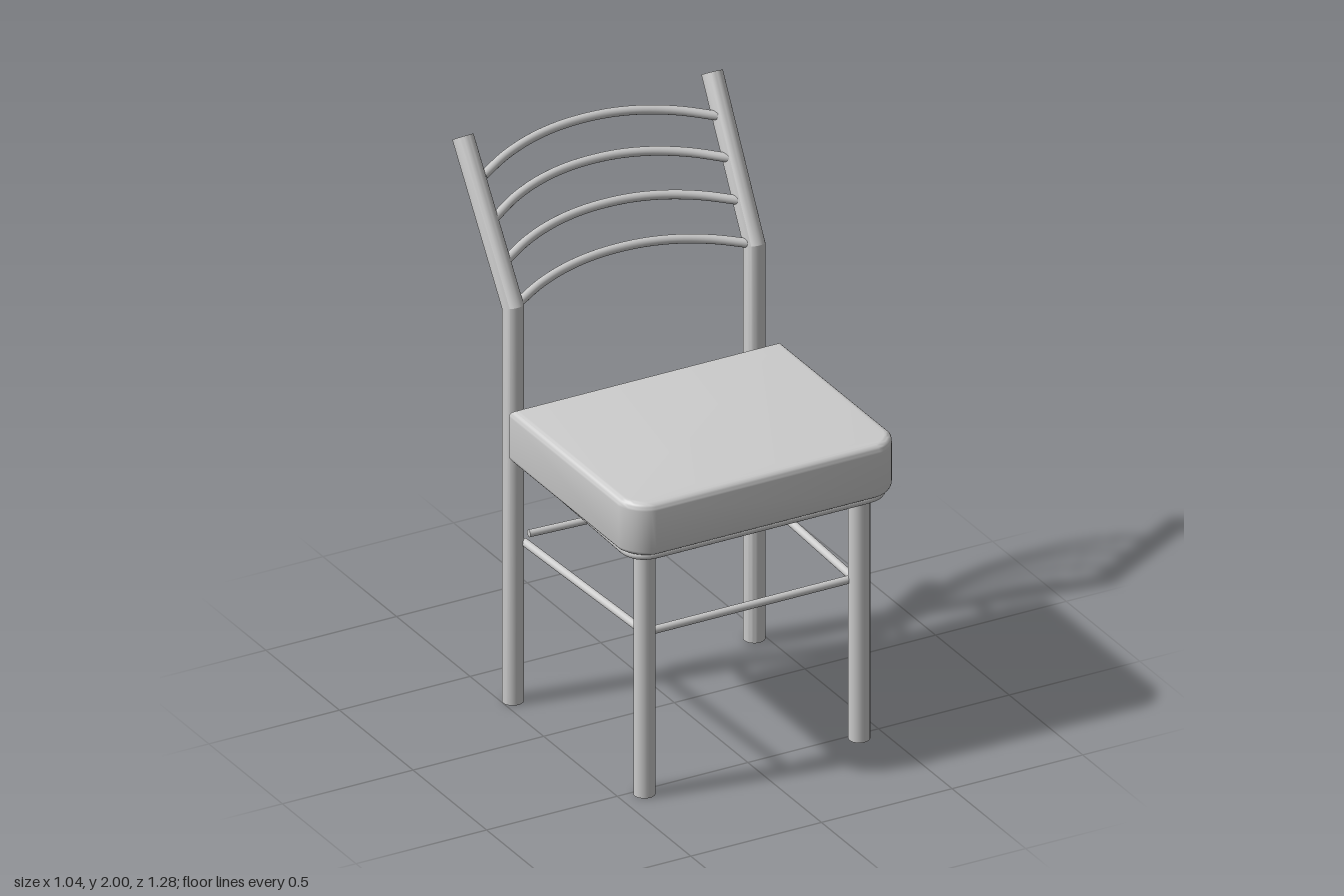
import * as THREE from 'three';
import { toCreasedNormals } from 'three/addons/utils/BufferGeometryUtils.js';

const V = (x, y, z) => new THREE.Vector3(x, y, z);

export function createModel() {
  const group = new THREE.Group();
  group.name = 'chair';
  const material = new THREE.MeshStandardMaterial({ color: 0xcccccc });
  const LEG_R = 0.037;

  function add(name, geometry) {
    const mesh = new THREE.Mesh(geometry, material);
    mesh.name = name;
    group.add(mesh);
    return mesh;
  }

  // Straight capped rod between two points
  function rod(name, a, b, radius) {
    const mesh = add(name, new THREE.CylinderGeometry(radius, radius, a.distanceTo(b), 24));
    mesh.position.copy(a).lerp(b, 0.5);
    mesh.quaternion.setFromUnitVectors(V(0, 1, 0), b.clone().sub(a).normalize());
  }

  // Back post: a three-ring cylinder with a mitred bend
  function backPost(name, side) {
    const foot = V(side * 0.462, 0, -0.277);
    const bend = V(side * 0.462, 1.48, -0.277);
    const tip = V(side * 0.477, 1.98, -0.59);
    const upper = tip.clone().sub(bend).normalize();
    const mitre = upper.clone().add(V(0, 1, 0));
    const geo = new THREE.CylinderGeometry(LEG_R, LEG_R, 2, 32, 2);
    const pos = geo.attributes.position;
    for (let i = 0; i < pos.count; i++) {
      const p = V().fromBufferAttribute(pos, i);
      const ring = Math.round(p.y);
      p.y = 0;
      if (ring >= 0) p.y = -(p.x * mitre.x + p.z * mitre.z) / mitre.y;
      if (ring === 1) p.addScaledVector(upper, -p.dot(upper));
      p.add([foot, bend, tip][ring + 1]);
      pos.setXYZ(i, p.x, p.y, p.z);
    }
    add(name, toCreasedNormals(geo, 0.4));
  }

  // Legs, posts and side stretchers
  for (const [word, s] of [['left', 1], ['right', -1]]) {
    rod(word + 'FrontLeg', V(s * 0.411, 0, 0.527), V(s * 0.411, 0.93, 0.527), LEG_R);
    backPost(word + 'BackPost', s);
    rod(word + 'SideStretcher', V(s * 0.4, 0.595, 0.51), V(s * 0.428, 0.595, -0.26), 0.014);
  }

  // Front stretcher, and the slightly skewed back one that stops short of a post
  rod('frontStretcher', V(-0.4, 0.595, 0.51), V(0.4, 0.595, 0.51), 0.014);
  rod('backStretcher', V(-0.385, 0.595, -0.305), V(0.435, 0.595, -0.262), 0.013);

  // Cushion: rounded outline with soft edges, cut corners at the front
  const bevel = 0.026;
  const w = 0.52 - bevel, front = -0.638 + bevel, back = 0.2 - bevel, c = 0.07;
  const outline = new THREE.Shape();
  outline.moveTo(-w + c, front);
  outline.lineTo(w - c, front);
  outline.quadraticCurveTo(w - 0.02, front + 0.01, w, front + c);
  outline.lineTo(w, back);
  outline.lineTo(-w, back);
  outline.lineTo(-w, front + c);
  outline.quadraticCurveTo(-w + 0.02, front + 0.01, -w + c, front);
  const cushion = new THREE.ExtrudeGeometry(outline, {
    depth: 0.198 - 2 * bevel, bevelSize: bevel, bevelThickness: bevel,
    bevelSegments: 6, curveSegments: 8,
  });
  cushion.rotateX(-Math.PI / 2).translate(0, 0.942 + bevel, 0);
  add('seatCushion', toCreasedNormals(cushion, 0.6));

  // Seat frame: one bent tube, open at the back
  const corner = (s) => new THREE.QuadraticBezierCurve3(
    V(s * 0.484, 0.931, 0.52), V(s * 0.48, 0.931, 0.598), V(s * 0.4, 0.931, 0.598));
  const path = new THREE.CurvePath();
  const L = corner(1).getPoints(8), R = corner(-1).getPoints(8).reverse();
  const pts = [V(0.464, 0.931, -0.255), ...L, ...R, V(-0.464, 0.931, -0.255)];
  for (let i = 1; i < pts.length; i++) path.add(new THREE.LineCurve3(pts[i - 1], pts[i]));
  add('seatFrame', new THREE.TubeGeometry(path, 160, 0.016, 16));

  // Curved back rails, each bowed up and backward: [end y, mid y, end z, mid z]
  const rails = [
    [1.487, 1.533, -0.272, -0.385],
    [1.614, 1.66, -0.35, -0.475],
    [1.739, 1.787, -0.427, -0.56],
    [1.862, 1.913, -0.505, -0.622],
  ];
  rails.forEach(([y0, y1, z0, z1], i) => {
    const points = [];
    for (let k = -4; k <= 4; k++) {
      const t = Math.abs(k) / 4;
      points.push(V(k * 0.112, y1 + (y0 - y1) * t ** 2, z1 + (z0 - z1) * t ** 2.2));
    }
    const curve = new THREE.CatmullRomCurve3(points);
    add('backRail' + (i + 1), new THREE.TubeGeometry(curve, 40, 0.016, 16));
  });

  return group;
}
